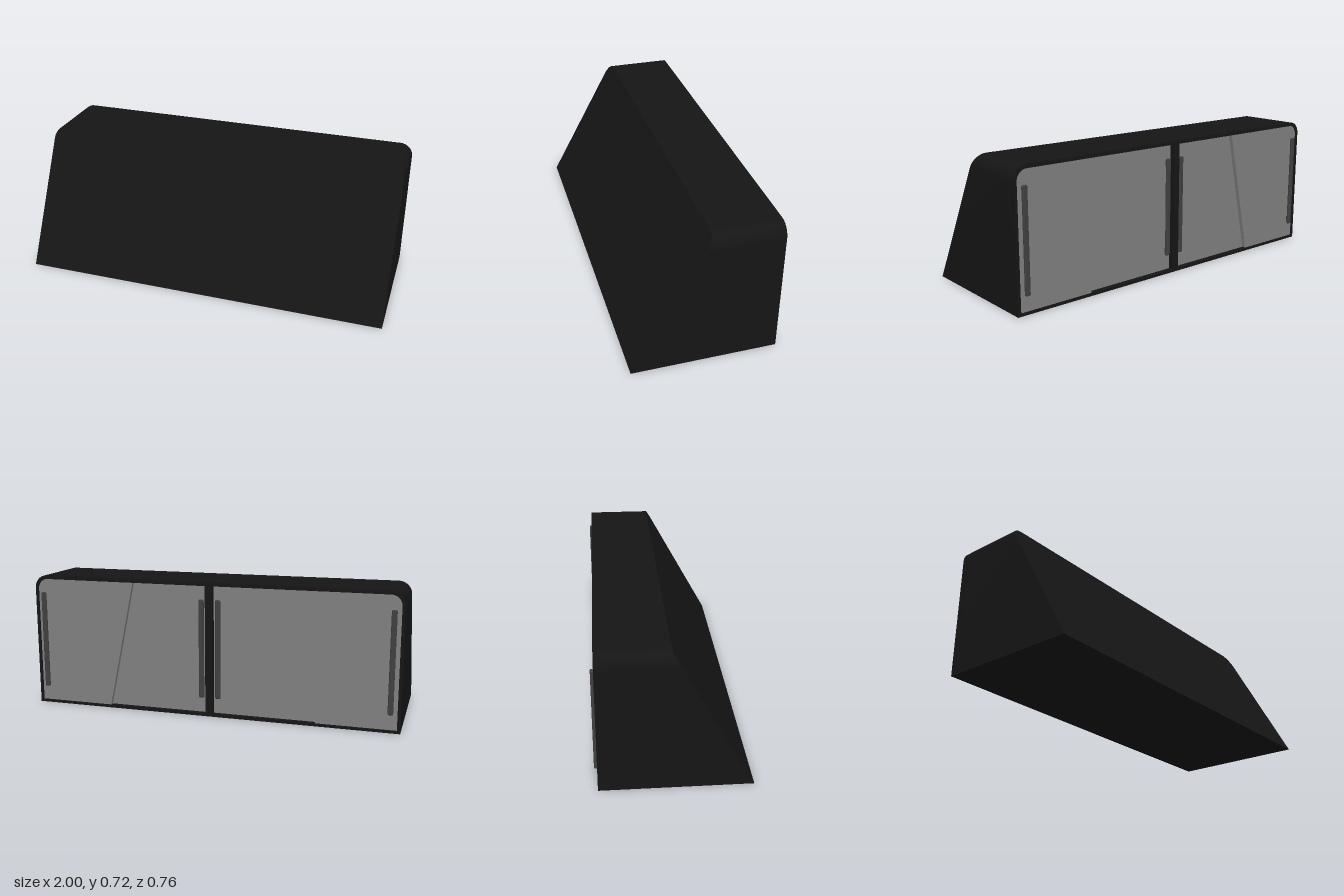
import * as THREE from 'three';
import { toCreasedNormals } from 'three/addons/utils/BufferGeometryUtils.js';
import { RoundedBoxGeometry } from 'three/addons/geometries/RoundedBoxGeometry.js';

const H = 0.72, BACK = -0.365, INNER = -0.32;

const black = new THREE.MeshStandardMaterial({ color: 0x151515 });
const grey = new THREE.MeshStandardMaterial({ color: 0x808080 });
const dark = new THREE.MeshStandardMaterial({ color: 0x404040 });

// Upright outline of the cabinet with rounded top corners
function outline() {
  const r = 0.07, s = new THREE.Shape();
  s.moveTo(-1, 0);
  s.lineTo(1, 0);
  s.lineTo(1, H - r);
  s.absarc(1 - r, H - r, r, 0, Math.PI / 2);
  s.lineTo(-1 + r, H);
  s.absarc(-1 + r, H - r, r, Math.PI / 2, Math.PI);
  s.closePath();
  return s;
}

// Region on one side (s = +1 or -1), from a slanted inner edge to the rounded outer corner
function outerRegion(s, xBottom, xTop) {
  const x1 = 0.983, y0 = 0.015, y1 = 0.7, r = 0.055;
  const pts = [[xBottom, y0], [x1, y0]];
  for (let i = 0; i <= 8; i++) {
    const a = (i / 8) * Math.PI / 2;
    pts.push([x1 - r + r * Math.cos(a), y1 - r + r * Math.sin(a)]);
  }
  pts.push([xTop, y1]);
  return pts.map(([x, y]) => new THREE.Vector2(s * x, y));
}

function extrude(shape, z0, z1) {
  const g = new THREE.ExtrudeGeometry(shape, { depth: z1 - z0, bevelEnabled: false, curveSegments: 10 });
  return g.translate(0, 0, z0);
}

export function createModel() {
  const model = new THREE.Group();
  const add = (name, geometry, material) => {
    const mesh = new THREE.Mesh(geometry, material);
    mesh.name = name;
    model.add(mesh);
    return mesh;
  };

  // Solid shell: the front end is sheared into the sloping face
  const shell = extrude(outline(), INNER, 1);
  const p = shell.attributes.position;
  for (let i = 0; i < p.count; i++) {
    if (p.getZ(i) > 0.5) p.setZ(i, 0.38 - 0.549 * p.getY(i));
  }
  add('shell', toCreasedNormals(shell, 0.6), black);

  // Rear frame with two door bays and a centre post
  const frame = outline();
  for (const s of [1, -1]) frame.holes.push(new THREE.Path(outerRegion(s, 0.02, 0.02)));
  add('rearFrame', toCreasedNormals(extrude(frame, BACK, INNER), 0.6), black);

  for (const s of [1, -1]) {
    const side = s > 0 ? 'left' : 'right';

    // Deeper inner door fills the bay; the outer door slides in front, cut on a slant
    add(side + 'InnerDoor', extrude(new THREE.Shape(outerRegion(s, 0.02, 0.02)), -0.338, INNER), grey);
    add(side + 'OuterDoor', extrude(new THREE.Shape(outerRegion(s, 0.57, 0.425)), -0.36, -0.338), grey);

    // Upright bar handles with a mount near each end
    for (const [name, x, z] of [['InnerHandle', 0.045, -0.338], ['OuterHandle', 0.948, -0.36]]) {
      const handle = new THREE.Group();
      handle.name = side + name;
      const bar = new THREE.Mesh(new RoundedBoxGeometry(0.028, 0.53, 0.016, 3, 0.007), dark);
      bar.name = 'handleBar';
      bar.position.z = -0.012;
      handle.add(bar);
      for (const y of [-0.24, 0.24]) {
        const mount = new THREE.Mesh(new THREE.BoxGeometry(0.018, 0.03, 0.012), dark);
        mount.name = 'handleMount';
        mount.position.set(0, y, -0.004);
        handle.add(mount);
      }
      handle.position.set(s * x, 0.362, z);
      model.add(handle);
    }
  }
  return model;
}
